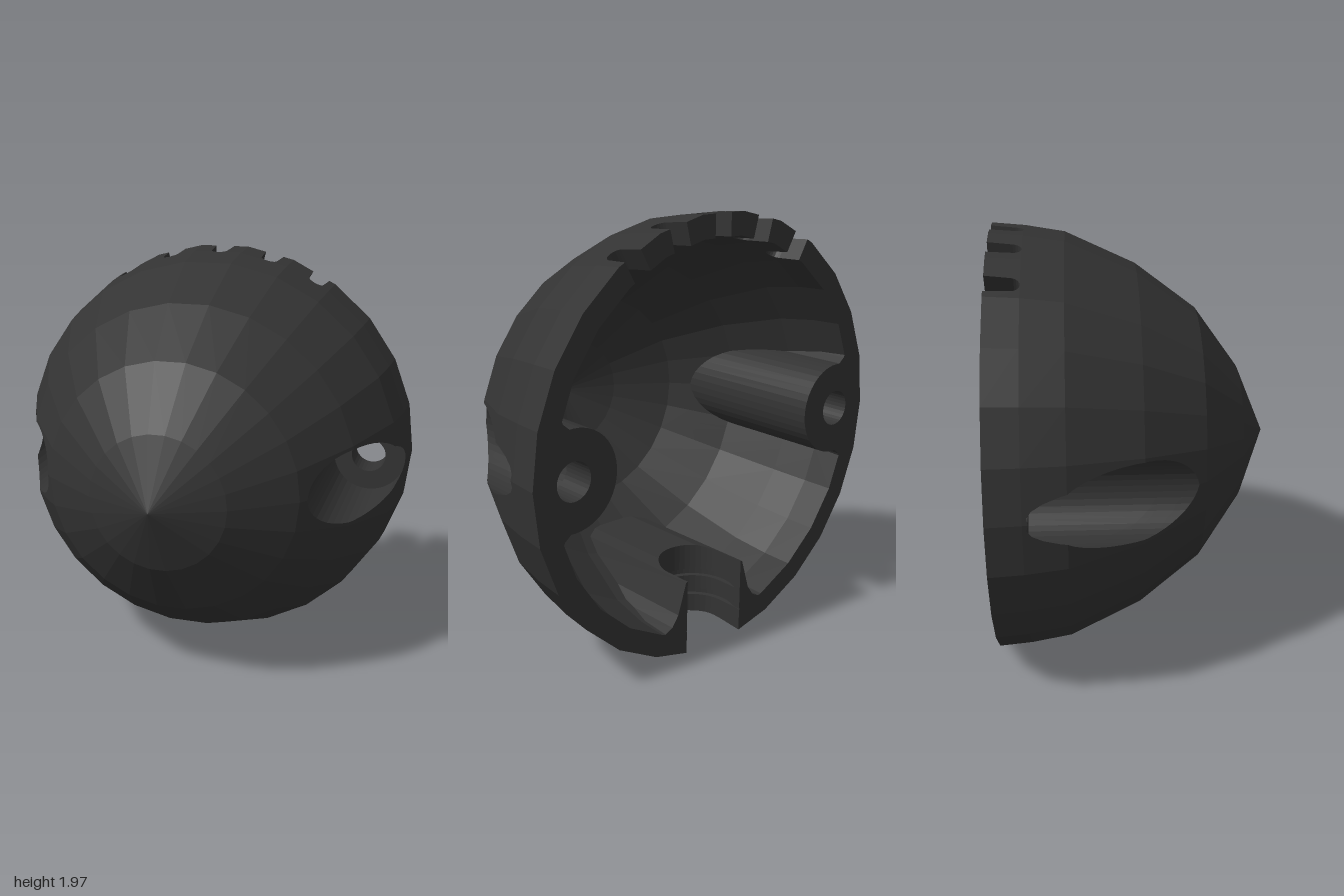
import * as THREE from 'three';

const CY = 0.993, SIDES = 26, EPS = 1e-5;
const V = (x, y, z) => new THREE.Vector3(x, y, z);

// ---- convex solids: a list of planar faces, each with an outward plane ----
function convex(faces) {
  const centre = V(0, 0, 0);
  faces.forEach(f => f.forEach(p => centre.addScaledVector(p, 1 / (f.length * faces.length))));
  const planes = faces.map(f => {
    const n = V(0, 0, 0);
    for (let i = 1; i < f.length - 1; i++) {
      n.add(f[i].clone().sub(f[0]).cross(f[i + 1].clone().sub(f[0])));
    }
    n.normalize();
    if (n.dot(f[0].clone().sub(centre)) < 0) { n.negate(); f.reverse(); }
    return { n, d: n.dot(f[0]) };
  });
  return { faces, planes };
}

// Outline in (u, v) swept from t0 to t1; place(u, v, t) gives the 3D point
function prism(outline, t0, t1, place) {
  const a = outline.map(([u, v]) => place(u, v, t0));
  const b = outline.map(([u, v]) => place(u, v, t1));
  const walls = a.map((p, i) => {
    const j = (i + 1) % a.length;
    return [p, a[j], b[j], b[i]];
  });
  return convex([a, b, ...walls]);
}

// Faceted dome: [z, r] rings, starting from a pointed tip
function dome(profile) {
  const rings = profile.map(([z, r]) => Array.from({ length: SIDES }, (_, i) => {
    const t = i / SIDES * Math.PI * 2;
    return V(r * Math.cos(t), CY + r * Math.sin(t), z);
  }));
  const faces = [rings[rings.length - 1].slice()];
  for (let k = 0; k < rings.length - 1; k++) {
    for (let i = 0; i < SIDES; i++) {
      const j = (i + 1) % SIDES, a = rings[k], b = rings[k + 1];
      faces.push(k === 0 ? [a[0], b[i], b[j]] : [a[i], b[i], b[j], a[j]]);
    }
  }
  return convex(faces);
}

const arc = (cu, cv, r, from, to, n) => Array.from({ length: n + 1 }, (_, i) => {
  const t = from + (to - from) * i / n;
  return [cu + r * Math.cos(t), cv + r * Math.sin(t)];
});
const circle = (cu, cv, r, n = 40) => arc(cu, cv, r, 0, Math.PI * 2, n).slice(0, n);
const alongZ = (u, v, t) => V(u, v, t);
const alongY = (u, v, t) => V(u, t, v);

// ---- polygon clipping against convex solids ----
function split(poly, { n, d }) {
  const dist = poly.map(p => { const s = n.dot(p) - d; return Math.abs(s) < EPS ? 0 : s; });
  if (dist.every(s => s <= 0)) return [null, poly];
  if (dist.every(s => s >= 0)) return [poly, null];
  const front = [], back = [];
  poly.forEach((p, i) => {
    const j = (i + 1) % poly.length;
    if (dist[i] >= 0) front.push(p);
    if (dist[i] <= 0) back.push(p);
    if (dist[i] * dist[j] < 0) {
      const m = p.clone().lerp(poly[j], dist[i] / (dist[i] - dist[j]));
      front.push(m); back.push(m);
    }
  });
  return [front, back];
}
function clip(polys, solid) {
  const inside = [], outside = [];
  for (const poly of polys) {
    let rest = poly;
    const cut = [];
    for (const plane of solid.planes) {
      const [f, b] = split(rest, plane);
      if (f) cut.push(f);
      rest = b;
      if (!rest) break;
    }
    if (rest) { inside.push(rest); outside.push(...cut); } else outside.push(poly);
  }
  return { inside, outside };
}
const inside = (polys, s) => clip(polys, s).inside;
const outsideAll = (polys, solids, self) =>
  solids.reduce((p, s) => s === self ? p : clip(p, s).outside, polys);
const flip = polys => polys.map(p => p.slice().reverse());

function toMesh(name, polys, material) {
  const pos = [];
  for (const p of polys) {
    for (let i = 1; i < p.length - 1; i++) {
      for (const q of [p[0], p[i], p[i + 1]]) pos.push(q.x, q.y, q.z);
    }
  }
  const g = new THREE.BufferGeometry();
  g.setAttribute('position', new THREE.Float32BufferAttribute(pos, 3));
  g.computeVertexNormals();
  const mesh = new THREE.Mesh(g, material);
  mesh.name = name;
  return mesh;
}

export function createModel() {
  const group = new THREE.Group();
  group.name = 'domeHousing';
  const material = new THREE.MeshStandardMaterial({ color: 0x333333, flatShading: true });

  // Outer dome and the hollow inside it
  const outer = dome([[0.63, 0], [0.5, 0.32], [0.3, 0.6], [0.02, 0.81],
    [-0.3, 0.957], [-0.48, 0.987], [-0.63, 1]]);
  const cavity = dome([[0.5, 0], [0.4, 0.26], [0.24, 0.51], [-0.02, 0.72],
    [-0.3, 0.855], [-0.48, 0.89], [-0.8, 0.905]]);

  // Screw bosses with flared roots, and the ridge around the cable channel
  const screwBosses = [], cableRidge = [];
  const flare = [[0.78, 0.2], [0.82, 0.22], [0.85, 0.245], [0.87, 0.29], [0.885, 0.36]];
  for (const s of [1, -1]) {
    screwBosses.push(prism(circle(s * 0.8, CY, 0.22), -0.75, 0.5, alongZ));
    for (let i = 0; i < flare.length - 1; i++) {
      const [x0, h0] = flare[i], [x1, h1] = flare[i + 1];
      screwBosses.push(prism([[s * x0, CY - h0], [s * x1, CY - h1],
        [s * x1, CY + h1], [s * x0, CY + h0]], -0.75, 0.5, alongZ));
    }
  }
  const ridge = [[0.38, 0.12], [0.365, 0.18], [0.3, 0.2], [0.22, 0.225],
    [0.17, 0.26], [0.14, 0.32], [0.12, 0.42]];
  for (let i = 0; i < ridge.length - 1; i++) {
    const [y0, w0] = ridge[i], [y1, w1] = ridge[i + 1];
    cableRidge.push(prism([[-w0, y0], [w0, y0], [w1, y1], [-w1, y1]], -0.75, 0.4, alongZ));
  }
  const bosses = [...screwBosses, ...cableRidge];

  // Cut-outs: screw pockets and holes, cable channel with grooves, rim slots
  const screwRecesses = [], cableChannel = [], rimSlots = [];
  for (const s of [1, -1]) {
    screwRecesses.push(prism(circle(s * 0.805, CY, 0.178), -0.47, 0.8, alongZ));
    screwRecesses.push(prism(circle(s * 0.8, CY, 0.085, 32), -0.75, -0.4, alongZ));
  }
  cableChannel.push(prism([[0.17, -0.75], ...arc(0, -0.5, 0.17, 0, Math.PI, 20), [-0.17, -0.75]],
    -0.2, 0.55, alongY));
  for (const y of [0.12, 0.22]) {
    cableChannel.push(prism(circle(0, -0.5, 0.195), y, y + 0.035, alongY));
  }
  const slot = [[0.053, -0.75], ...arc(0, -0.52, 0.04, 0, Math.PI, 10), [-0.053, -0.75]];
  for (const deg of [-30, -15, 0, 15, 30]) {
    const a = deg * Math.PI / 180;
    rimSlots.push(prism(slot, 0.7, 1.15, (u, v, t) =>
      V(u * Math.cos(a) + t * Math.sin(a), CY - u * Math.sin(a) + t * Math.cos(a), v)));
  }
  const cuts = [...screwRecesses, ...cableChannel, ...rimSlots];

  // Keeps only what lies in the wall or in a boss
  const inMaterial = polys => {
    const c = clip(polys, cavity);
    const kept = c.outside;
    let rest = c.inside;
    for (const b of bosses) {
      const part = clip(rest, b);
      kept.push(...part.inside);
      rest = part.outside;
    }
    return kept;
  };
  const bossFaces = list => list.flatMap(b => outsideAll(
    outsideAll(inside(inside(b.faces, cavity), outer), bosses, b), cuts));
  const cutFaces = list => flip(list.flatMap(c => outsideAll(
    inMaterial(inside(c.faces, outer)), cuts, c)));

  const parts = {
    outerShell: outsideAll(inMaterial(outer.faces), cuts),
    innerShell: flip(outsideAll(outsideAll(inside(cavity.faces, outer), bosses), cuts)),
    screwBosses: bossFaces(screwBosses),
    cableRidge: bossFaces(cableRidge),
    screwRecesses: cutFaces(screwRecesses),
    cableChannel: cutFaces(cableChannel),
    rimSlots: cutFaces(rimSlots),
  };
  for (const [name, polys] of Object.entries(parts)) group.add(toMesh(name, polys, material));
  return group;
}
